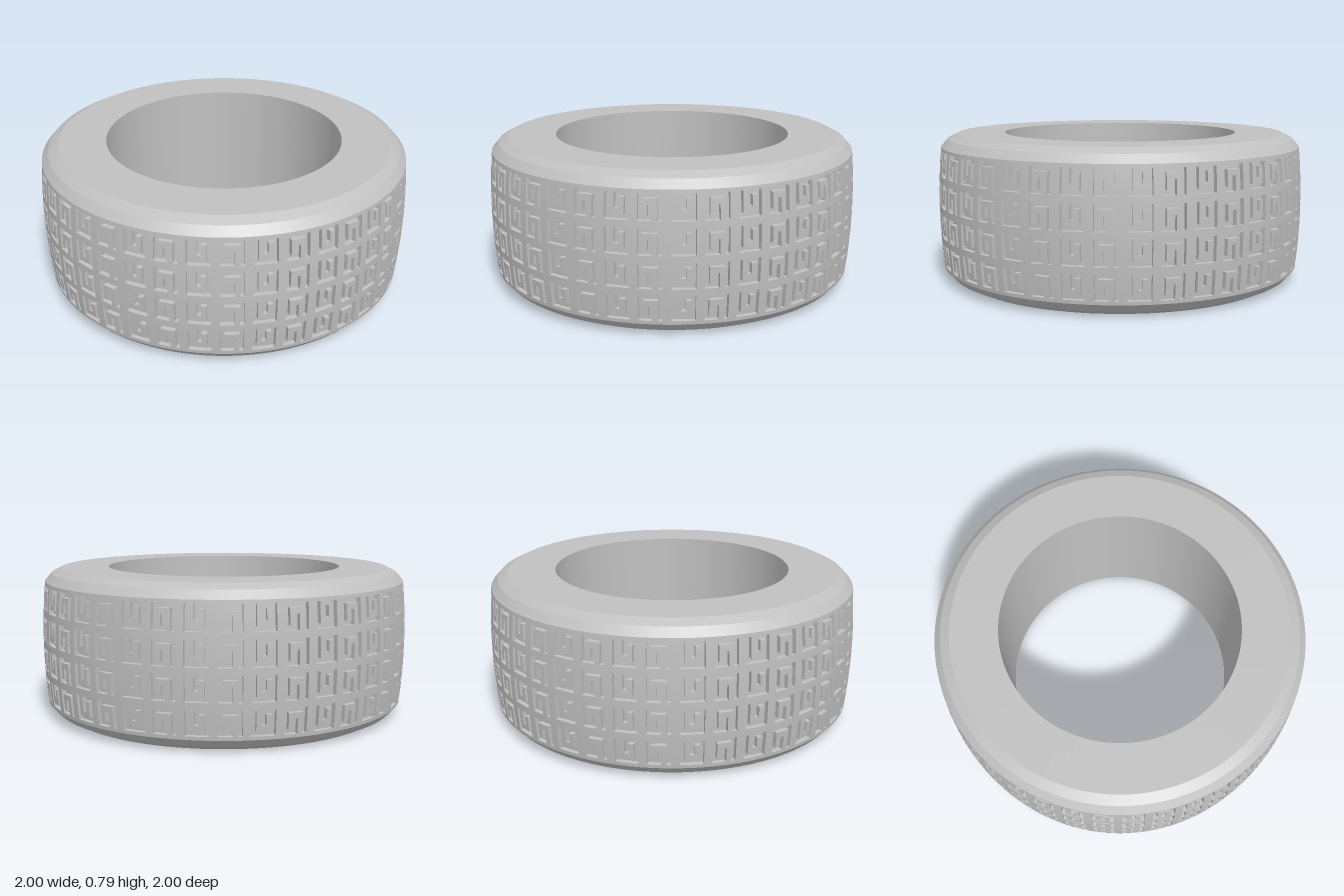
import * as THREE from 'three';
import { mergeGeometries } from 'three/addons/utils/BufferGeometryUtils.js';

const HEIGHT = 0.787, MID = HEIGHT / 2;
const COLS = 40, ROWS = 4, PITCH = 0.163, DEPTH = 0.025;
const Y0 = MID - (ROWS * PITCH) / 2;

// gently crowned tread radius
const crown = (y) => 1 - 0.17 * (y - MID) ** 2;

// spiral key groove, top line first
const KEY = ['#.###', '#.#.#', '#.#.#', '#...#', '#####'];
const N = 7; // five key spans plus a margin on either side

// span borders of one cell: margin, strokes and gaps, margin
function borders(size, margin) {
  const stroke = (size - 2 * margin) * 0.18, gap = (size - 2 * margin) * 0.23;
  const steps = [margin, stroke, gap, stroke, gap, stroke, margin];
  const out = [0];
  steps.forEach((s) => out.push(out[out.length - 1] + s));
  return out;
}
const CELL = (Math.PI * 2) / COLS;
const uBorders = borders(CELL, 0.021), vBorders = borders(PITCH, 0.018);
const uAt = (i) => Math.floor(i / N) * CELL + uBorders[i % N];
const vAt = (j) => Y0 + Math.floor(j / N) * PITCH + vBorders[j % N];

// is this grid square part of a groove? every other column is turned half round
function sunk(i, j) {
  let a = (i % N) - 1, b = (j % N) - 1;
  if (a < 0 || a > 4 || b < 0 || b > 4) return false;
  if (Math.floor(i / N) % 2) { a = 4 - a; b = 4 - b; }
  return KEY[4 - b][a] === '#';
}

function treadGeometry() {
  const pos = [], nor = [];
  const point = (u, v, depth) => {
    const r = crown(v) - depth;
    return new THREE.Vector3(r * Math.sin(u), v, r * Math.cos(u));
  };
  const smooth = (u, v) =>
    new THREE.Vector3(Math.sin(u), 0.34 * (v - MID), Math.cos(u)).normalize();
  const quad = (p, n) => [0, 1, 2, 0, 2, 3].forEach((k) => {
    pos.push(p[k].x, p[k].y, p[k].z);
    nor.push(n[k].x, n[k].y, n[k].z);
  });

  for (let i = 0; i < COLS * N; i++) {
    for (let j = 0; j < ROWS * N; j++) {
      const u0 = uAt(i), u1 = uAt(i + 1), v0 = vAt(j), v1 = vAt(j + 1);
      const low = sunk(i, j);
      const corners = [[u0, v0], [u1, v0], [u1, v1], [u0, v1]];
      quad(corners.map(([u, v]) => point(u, v, low ? DEPTH : 0)),
        corners.map(([u, v]) => smooth(u, v)));
      if (!low) continue;
      // groove walls, where the neighbouring square is not sunk
      const loop = [[u0, v0], [u0, v1], [u1, v1], [u1, v0]];
      [[-1, 0], [0, 1], [1, 0], [0, -1]].forEach(([di, dj], k) => {
        if (sunk(i + di, j + dj)) return;
        const p = loop[k], q = loop[(k + 1) % 4];
        const w = [point(...p, DEPTH), point(...q, DEPTH), point(...q, 0), point(...p, 0)];
        const n = w[1].clone().sub(w[0]).cross(w[3].clone().sub(w[0])).normalize();
        quad(w, [n, n, n, n]);
      });
    }
  }
  const g = new THREE.BufferGeometry();
  g.setAttribute('position', new THREE.Float32BufferAttribute(pos, 3));
  g.setAttribute('normal', new THREE.Float32BufferAttribute(nor, 3));
  return g;
}

// each profile section is its own lathe, so the rings between them stay crisp
function turned(points) {
  const parts = [];
  for (let k = 0; k + 1 < points.length; k++) {
    const pair = [points[k], points[k + 1]].map(([r, y]) => new THREE.Vector2(r, y));
    parts.push(new THREE.LatheGeometry(pair, 160));
  }
  return mergeGeometries(parts);
}

export function createModel() {
  const rubber = new THREE.MeshStandardMaterial({ color: 0xc0c0c0 });
  rubber.name = 'grey rubber';
  const group = new THREE.Group();
  group.name = 'tyre';
  const add = (name, geometry) => {
    const mesh = new THREE.Mesh(geometry, rubber);
    mesh.name = name;
    group.add(mesh);
  };

  const INNER = 0.637, FLAT = 0.893, edge = crown(Y0);
  const shoulder = [[FLAT, 0], [0.945, 0.026], [edge, Y0]];
  const flip = (pts) => pts.map(([r, y]) => [r, HEIGHT - y]).reverse();

  add('tread', treadGeometry());
  add('lowerShoulder', turned(shoulder));
  add('upperShoulder', turned(flip(shoulder)));
  add('lowerSidewall', turned([[INNER, 0], [FLAT, 0]]));
  add('upperSidewall', turned([[FLAT, HEIGHT], [INNER, HEIGHT]]));
  add('innerBore', turned([[INNER, HEIGHT], [INNER, 0]]));
  return group;
}
